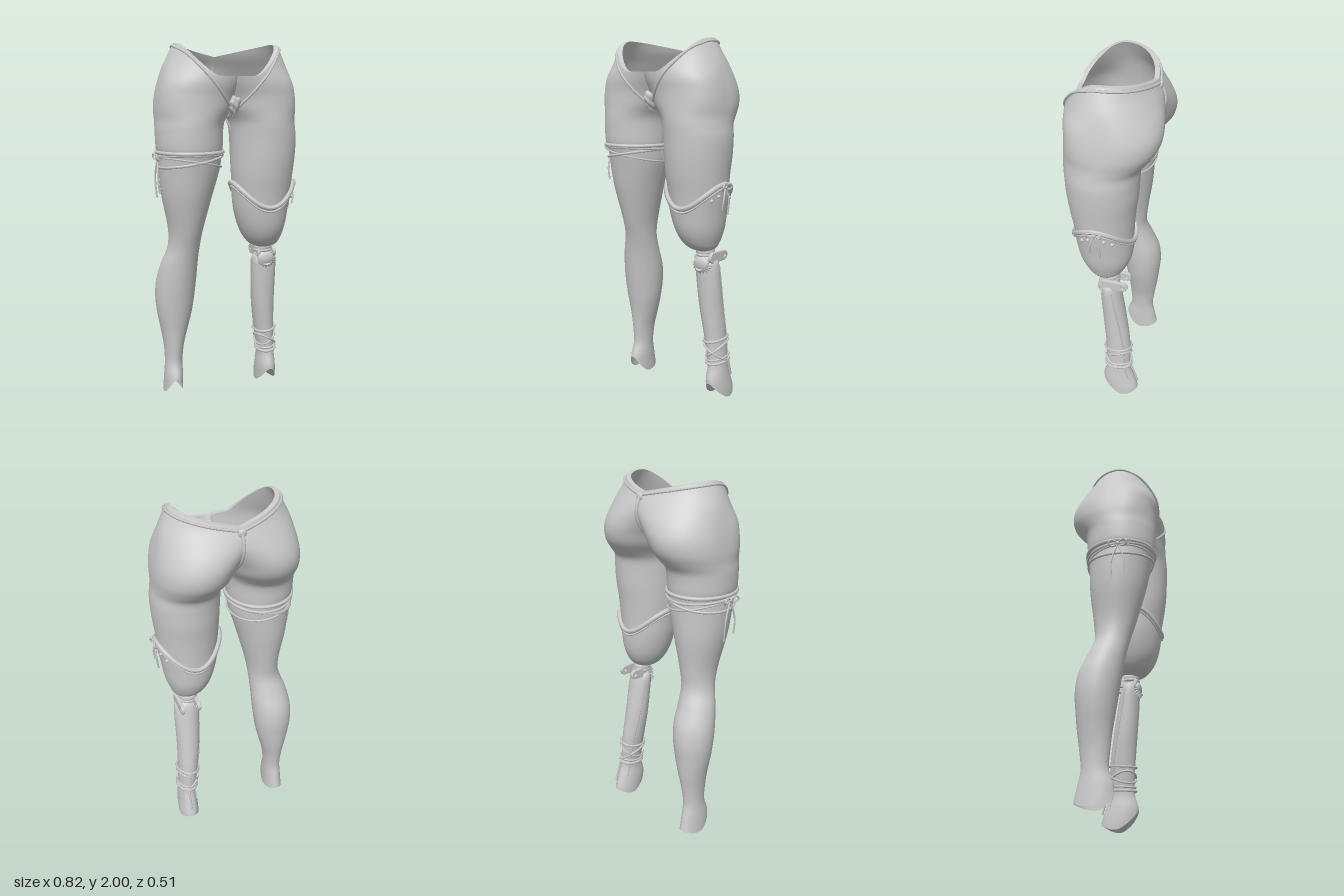
import * as THREE from 'three';

const mat = new THREE.MeshStandardMaterial({ color: 0xcccccc, side: THREE.DoubleSide });
const V = (x, y, z) => new THREE.Vector3(x, y, z);

// Cross-section stations: y, inner x, outer x, front z, back z, front fullness
const hip = [
  [2.0, -.285, .285, .24, -.165, 1], [1.94, -.31, .315, .245, -.185, 1], [1.88, -.26, .342, .248, -.213, .9],
  [1.8, -.125, .365, .246, -.241, .6], [1.73, -.05, .38, .238, -.25, .55], [1.66, -.017, .388, .238, -.233, .65],
  [1.6, .015, .389, .24, -.19, .9], [1.56, .025, .392, .24, -.158, 1]];
const rightLeg = [...hip,
  [1.45, .03, .388, .235, -.145, 1], [1.42, .036, .376, .225, -.14, 1], [1.35, .04, .375, .21, -.135, 1],
  [1.2, .08, .36, .18, -.125, 1], [1.0, .13, .322, .125, -.1, 1], [.9, .145, .325, .095, -.095, 1],
  [.8, .15, .358, .075, -.13, 1], [.7, .152, .38, .06, -.17, 1], [.6, .16, .385, .045, -.182, 1],
  [.5, .175, .375, .03, -.175, 1], [.4, .2, .356, .015, -.165, 1], [.3, .225, .34, .005, -.15, 1],
  [.2, .235, .335, 0, -.14, 1], [.12, .235, .34, .025, -.155, 1], [0, .235, .346, .03, -.18, 1]];
const leftThigh = [...hip,
  [1.5, .03, .399, .236, -.15, 1], [1.4, .035, .395, .23, -.145, 1], [1.3, .04, .385, .218, -.133, 1],
  [1.2, .05, .375, .2, -.125, 1], [1.1, .062, .36, .185, -.12, 1], [1.0, .09, .345, .163, -.108, 1],
  [.93, .125, .323, .128, -.08, 1], [.89, .165, .3, .085, -.045, 1], [.865, .225, .245, .02, .0, 1]];
const shin = [
  [.845, .225, .265, .02, -.02, 1], [.83, .19, .305, .04, -.04, 1], [.8, .177, .32, .05, -.055, 1],
  [.7, .18, .324, .047, -.075, 1], [.55, .19, .325, .035, -.1, 1], [.4, .21, .33, .02, -.122, 1],
  [.3, .226, .334, .012, -.128, 1], [.2, .24, .338, .01, -.13, 1], [.12, .235, .345, .03, -.157, 1],
  [.05, .234, .35, .022, -.178, 1], [0, .236, .35, .0, -.18, 1]];

// Smooth interpolation of the stations at height y
function section(st, y) {
  let i = 0;
  while (i < st.length - 2 && y < st[i + 1][0]) i++;
  const a = st[i], b = st[i + 1], h = b[0] - a[0];
  const t = THREE.MathUtils.clamp((y - a[0]) / h, 0, 1);
  const slope = (j, k) => {
    const p = st[Math.max(j - 1, 0)], q = st[Math.min(j + 1, st.length - 1)];
    return (q[k] - p[k]) / (q[0] - p[0]) * h;
  };
  return a.map((v, k) => {
    const d = b[k] - v, m = slope(i, k), n = slope(i + 1, k);
    return v + t * m + t * t * (3 * d - 2 * m - n) + t * t * t * (m + n - 2 * d);
  });
}

// Point on a limb: angle t runs outer side -> front -> inner -> back
function limbPoint(st, side, y, t, off = 0) {
  const [, xi, xo, zf, zb, p] = section(st, y), s = Math.sin(t);
  const x = (xi + xo) / 2 + ((xo - xi) / 2 + off) * Math.cos(t);
  const k = Math.sign(s) * Math.pow(Math.abs(s), s > 0 ? p : 1);
  return V(side * Math.max(0, x), y, (zf + zb) / 2 + ((zf - zb) / 2 + off) * k);
}

// Closed-around grid surface; faces lying on the middle plane are left out
function grid(fn, nu, nv, flip) {
  const pos = [], idx = [];
  for (let j = 0; j <= nv; j++)
    for (let i = 0; i < nu; i++) pos.push(...fn(i / nu * Math.PI * 2, j / nv).toArray());
  const tri = (a, b, c) => {
    if ([a, b, c].every(k => Math.abs(pos[k * 3]) < 1e-4)) return;
    flip ? idx.push(a, c, b) : idx.push(a, b, c);
  };
  for (let j = 0; j < nv; j++)
    for (let i = 0; i < nu; i++) {
      const a = j * nu + i, b = j * nu + (i + 1) % nu;
      tri(a, b, a + nu);
      tri(b, b + nu, a + nu);
    }
  const g = new THREE.BufferGeometry();
  g.setAttribute('position', new THREE.Float32BufferAttribute(pos, 3));
  g.setIndex(idx);
  g.computeVertexNormals();
  return g;
}

const limb = (st, side, top, bot, off = 0, nv = 90) => grid(
  (t, v) => limbPoint(st, side, THREE.MathUtils.lerp(top(t), bot(t), v), t, off), 96, nv, side < 0);

const rimY = t => {
  const c = Math.max(0, Math.cos(t));
  return Math.sin(t) > 0 ? 1.83 + .17 * Math.pow(c, 1.5) : 1.94 + .06 * c;
};
const cuffY = t => 1.19 + .065 * Math.cos(2 * t);
const leftSoleY = t => { const s = Math.sin(t); return .005 + (s > 0 ? .1 : .035) * s * s; };
const rightSoleY = t => { const s = Math.sin(t); return .015 + (s > 0 ? .1 : .025) * s * s; };

export function createModel() {
  const root = new THREE.Group();
  const add = (name, geo, parent = root) => {
    const m = new THREE.Mesh(geo, mat);
    m.name = name;
    parent.add(m);
    return m;
  };
  const cord = (name, pts, r = .006, closed = false) => add(name,
    new THREE.TubeGeometry(new THREE.CatmullRomCurve3(pts, closed), pts.length * 3, r, 6, closed));
  const ring = (name, st, side, yFn, r, off = .004) => cord(name,
    Array.from({ length: 32 }, (_, i) => { const t = i / 32 * Math.PI * 2; return limbPoint(st, side, yFn(t), t, off); }), r, true);
  const ball = (name, x, y, z, r, sx = 1, sy = 1, sz = 1) => {
    const m = add(name, new THREE.SphereGeometry(r, 20, 14));
    m.position.set(x, y, z);
    m.scale.set(sx, sy, sz);
    return m;
  };

  // Hips and legs, with a thick hollow waist
  add('rightHipAndLeg', limb(rightLeg, -1, rimY, rightSoleY, 0, 130));
  add('leftHipAndThigh', limb(leftThigh, 1, rimY, () => .866));
  for (const [side, st] of [[1, leftThigh], [-1, rightLeg]]) {
    add('innerLining', limb(st, side, rimY, () => 1.3, -.024, 50));
    add('waistRim', grid((t, v) => limbPoint(st, side, rimY(t), t, -.024 * (1 - v)), 96, 1, side < 0));

    // Brief: waist cord at the side and back, then down the groin
    const path = [];
    for (let i = 0; i <= 16; i++) {
      const t = -Math.PI / 2 + i / 16 * (Math.PI / 2 + .25);
      path.push(limbPoint(st, side, rimY(t) - .015, t, .003));
    }
    for (const [x, y] of [[.25, 1.945], [.2, 1.885], [.15, 1.825], [.1, 1.765], [.06, 1.715], [.03, 1.68]]) {
      const [, xi, xo] = section(st, y);
      const t = Math.acos(THREE.MathUtils.clamp((x - (xi + xo) / 2) / ((xo - xi) / 2), -1, 1));
      path.push(limbPoint(st, side, y, t, .003));
    }
    cord('briefCord', path, .007);
  }

  // Back cord following the middle crease
  const crease = [];
  for (let y = 1.925; y > 1.63; y -= .03) {
    const [, xi, xo, zf, zb] = section(hip, y), c = Math.min(0, (xi + xo) / (xi - xo));
    crease.push(V(0, y, (zf + zb) / 2 - (zf - zb) / 2 * Math.sqrt(Math.max(0, 1 - c * c)) - .004));
  }
  cord('backCord', [...crease, V(0, 1.615, .04), V(0, 1.63, .12)], .009);
  ball('backCordKnot', 0, 1.915, -.2, .02, 1.1, 1.1, .5);

  // Gathered cloth at the front
  const gather = new THREE.SphereGeometry(1, 40, 28), gp = gather.attributes.position;
  for (let i = 0; i < gp.count; i++) {
    const x = gp.getX(i), y = gp.getY(i), z = gp.getZ(i);
    const k = 1 + .12 * Math.sin(7 * x + 3 * y) * Math.cos(6 * y - 2 * x);
    gp.setXYZ(i, x * (.032 + .024 * y) * k, y * .06 * k, z * .04 * k + .025 * y);
  }
  gather.computeVertexNormals();
  add('gatheredCloth', gather).position.set(0, 1.668, .165);

  // Right thigh garter
  ring('garterBand', rightLeg, -1, () => 1.435, .011);
  ring('garterBand', rightLeg, -1, t => 1.415 + .012 * Math.sin(t), .007, .008);
  ring('garterCrossBand', rightLeg, -1, t => 1.385 - .03 * Math.cos(t), .007, .006);
  ring('garterCrossBand', rightLeg, -1, t => 1.375 + .035 * Math.cos(t - .5), .005, .006);

  // Left socket shell with a rolled cuff and studs
  add('socketShell', limb(leftThigh, 1, cuffY, () => .87, .006, 40));
  ring('socketCuff', leftThigh, 1, cuffY, .014, .008);
  ring('socketCuffCord', leftThigh, 1, t => cuffY(t) - .022, .006, .01);
  for (const t of [-.5, -.25, .25, .5])
    ball('socketStud', ...limbPoint(leftThigh, 1, cuffY(t) - .055, t, .008).toArray(), .01);

  // Side bows with hanging ends
  for (const [x, y, zs, low] of [[.392, 1.24, [.015, .065], 1.09], [-.39, 1.41, [.03, .1], 1.19]]) {
    const zm = (zs[0] + zs[1]) / 2, o = Math.sign(x);
    ball('bowKnot', x, y, zm, .012);
    zs.forEach((z, i) => {
      const d = i ? 1 : -1;
      cord('bowLoop', [V(x, y, zm), V(x + o * .012, y + .018, z), V(x + o * .014, y, z + d * .015), V(x, y - .016, z)], .005, true);
      cord('bowEnd', [V(x, y, zm), V(x + o * .006, (y + low) / 2, z), V(x - o * .002, low + i * .03, z)], .005);
    });
  }

  // Knee joint
  ball('kneeBall', .237, .868, .0, .05, 1.05, .8, 1.05);
  ball('kneePivot', .243, .825, .01, .045, 1.2, .8, 1);
  const collar = add('kneeCollar', new THREE.TorusGeometry(.045, .01, 8, 28));
  collar.rotation.x = Math.PI / 2;
  collar.position.set(.238, .85, 0);
  const plate = new THREE.Shape();
  plate.absarc(.085, 0, .024, -Math.PI / 2, Math.PI / 2);
  plate.absarc(-.015, 0, .028, Math.PI / 2, Math.PI * 1.5);
  const hole = new THREE.Path();
  hole.absarc(.085, 0, .011, 0, Math.PI * 2, true);
  plate.holes.push(hole);
  const plateGeo = new THREE.ExtrudeGeometry(plate, { depth: .014, bevelEnabled: true, bevelSize: .003, bevelThickness: .003, bevelSegments: 2 });
  for (const x of [.198, .292]) {
    const m = add('kneeBracket', plateGeo);
    m.rotation.y = Math.PI / 2;
    m.position.set(x, .838, 0);
  }

  // Knee ornament: small shield fringed with points
  ball('kneeShield', .243, .805, .045, .045, 1.1, .9, .45);
  for (let i = 0; i < 11; i++) {
    const a = Math.PI * (1.0 + i / 10);
    const m = add('kneeFringe', new THREE.ConeGeometry(.011, .034, 6));
    m.position.set(.243 + .058 * Math.cos(a), .8 + .042 * Math.sin(a), .056 - .018 * Math.abs(Math.cos(a)));
    m.rotation.set(.5, 0, a - Math.PI / 2);
  }

  // Left shin, closed foot and seam lines
  add('leftShinAndFoot', limb(shin, 1, () => .845, leftSoleY, 0, 60));
  const soleMid = V(.293, .05, -.06);
  add('leftSole', grid((t, v) => limbPoint(shin, 1, leftSoleY(t), t).lerp(soleMid, v), 96, 6));
  for (const t of [-.35, -2.8])
    cord('shinSeam', [.79, .7, .6, .5, .4, .3, .2, .13].map((y, i) => limbPoint(shin, 1, y, t - Math.sign(Math.cos(t)) * i * .06)), .004);

  // Ankle straps, two level and two crossing
  for (const [y, tilt, r] of [[.355, .012, .007], [.3, .045, .006], [.275, -.045, .006], [.222, .008, .008], [.245, .012, .006]])
    ring('ankleStrap', shin, 1, t => y + tilt * Math.cos(t + .6), r, .007);
  cord('strapEnd', [V(.3, .23, -.135), V(.3, .16, -.16), V(.3, .1, -.178)], .006);

  return root;
}
